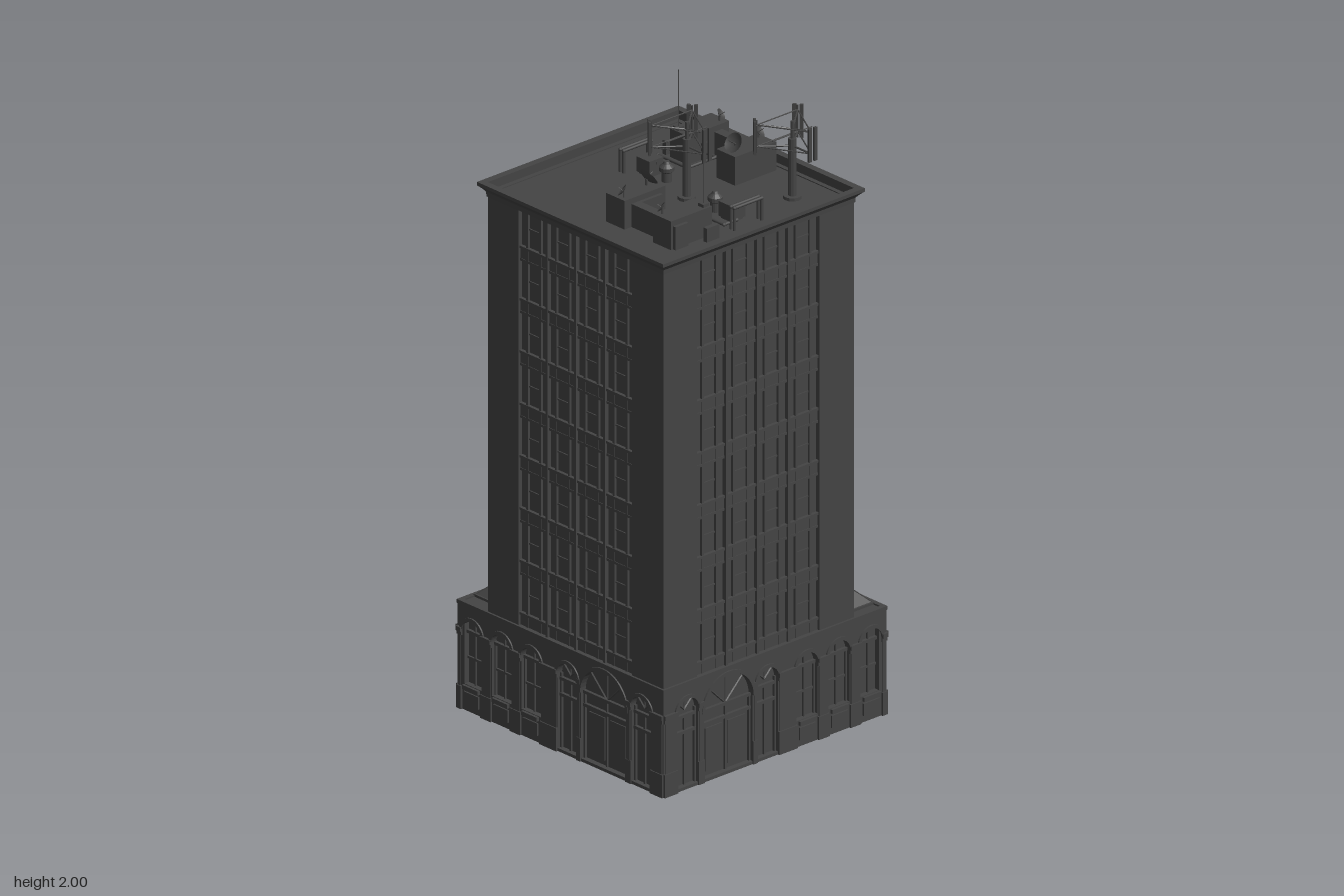
import * as THREE from 'three';
import { mergeGeometries } from 'three/addons/utils/BufferGeometryUtils.js';

const color = 0x444444;
const flat = new THREE.MeshStandardMaterial({ color, flatShading: true });
const smooth = new THREE.MeshStandardMaterial({ color });
const thin = new THREE.MeshStandardMaterial({ color, side: THREE.DoubleSide });
const V = (x, y, z) => new THREE.Vector3(x, y, z);

// Box given by its extents
const span = (x0, x1, y0, y1, z0, z1) => new THREE.BoxGeometry(x1 - x0, y1 - y0, z1 - z0)
  .translate((x0 + x1) / 2, (y0 + y1) / 2, (z0 + z1) / 2);

const extrude = (shape, depth, z) => new THREE.ExtrudeGeometry(shape, { depth, bevelEnabled: false, curveSegments: 10 })
  .translate(0, 0, z);

// Round bar between two points
function rod(a, b, r, sides = 6) {
  const d = b.clone().sub(a);
  return new THREE.CylinderGeometry(r, r, d.length(), sides)
    .applyQuaternion(new THREE.Quaternion().setFromUnitVectors(V(0, 1, 0), d.normalize()))
    .translate((a.x + b.x) / 2, (a.y + b.y) / 2, (a.z + b.z) / 2);
}

function tube(points, r) {
  const path = new THREE.CurvePath();
  for (let i = 0; i + 1 < points.length; i++) path.add(new THREE.LineCurve3(points[i], points[i + 1]));
  return mergeGeometries([
    ...path.curves.map((c) => rod(c.v1, c.v2, r, 8)),
    ...points.map((p) => new THREE.SphereGeometry(r * 1.25, 8, 6).translate(p.x, p.y, p.z)),
  ]);
}

// Square moulding swept from (half width, height) pairs
const squareRing = (profile) => new THREE.LatheGeometry(
  profile.map(([h, y]) => new THREE.Vector2(h * Math.SQRT2, y)), 4, Math.PI / 4);

function add(parent, name, geos, mat = flat) {
  const list = [].concat(geos).map((g) => {
    const n = g.index ? g.toNonIndexed() : g;
    n.deleteAttribute('uv');
    return n;
  });
  const mesh = new THREE.Mesh(mergeGeometries(list), mat);
  mesh.name = name;
  parent.add(mesh);
  return mesh;
}

function group(parent, name) {
  const g = new THREE.Group();
  g.name = name;
  parent.add(g);
  return g;
}

// Round-headed outline
function arch(path, { cx, w, y0, top }) {
  const r = w / 2, spring = top - r;
  path.moveTo(cx - r, y0);
  path.lineTo(cx + r, y0);
  path.lineTo(cx + r, spring);
  path.absarc(cx, spring, r, 0, Math.PI, false);
  path.lineTo(cx - r, y0);
  return path;
}

// One street facade: three arched windows, a grand door between two side doors
function facade(parent, name) {
  const g = group(parent, name), F = 0.45;
  const openings = [
    ...[-0.387, -0.258, -0.129].map((cx) => ({ cx, w: 0.085, y0: 0.085, top: 0.296 })),
    { cx: 0.03, w: 0.085, y0: 0.01, top: 0.296, door: true },
    { cx: 0.188, w: 0.196, y0: 0.01, top: 0.323, door: true },
    { cx: 0.353, w: 0.085, y0: 0.01, top: 0.296, door: true },
  ];
  const wall = new THREE.Shape([[-F, 0], [F, 0], [F, 0.345], [-F, 0.345]].map((p) => new THREE.Vector2(...p)));
  openings.forEach((o) => wall.holes.push(arch(new THREE.Path(), o)));
  add(g, 'wall', extrude(wall, 0.03, F - 0.03));

  const panes = [], bars = [], trims = [], sills = [];
  for (const o of openings) {
    const r = o.w / 2, spring = o.top - r, head = o.door ? Math.min(spring, 0.235) : spring;
    panes.push(extrude(arch(new THREE.Shape(), o), 0.004, F - 0.022));
    const ring = new THREE.Shape();
    ring.absarc(o.cx, spring, r + 0.011, 0, Math.PI, false);
    ring.absarc(o.cx, spring, r, Math.PI, 0, true);
    trims.push(extrude(ring, 0.006, F - 0.001));
    // Frame bars and fan-light spokes
    bars.push(span(o.cx - r, o.cx + r, head - 0.005, head + 0.005, F - 0.02, F - 0.008));
    bars.push(span(o.cx - 0.003, o.cx + 0.003, o.y0, o.door ? head : o.top, F - 0.02, F - 0.012));
    [-1, 1].forEach((s) => bars.push(span(o.cx + s * (r - 0.003) - 0.003, o.cx + s * (r - 0.003) + 0.003, o.y0, spring, F - 0.02, F - 0.01)));
    if (o.door) {
      for (const a of [45, 90, 135].map(THREE.MathUtils.degToRad)) {
        bars.push(rod(V(o.cx, spring, F - 0.016), V(o.cx + Math.cos(a) * r, spring + Math.sin(a) * r, F - 0.016), 0.003, 4));
      }
      bars.push(span(o.cx - r, o.cx + r, 0.178, 0.188, F - 0.02, F - 0.008));
    } else {
      bars.push(span(o.cx - r, o.cx + r, 0.165, 0.172, F - 0.02, F - 0.012));
      sills.push(span(o.cx - r + 0.008, o.cx + r - 0.008, 0.07, 0.083, F - 0.002, F + 0.009));
      sills.push(span(o.cx - r + 0.01, o.cx + r - 0.01, 0.022, 0.062, F - 0.002, F + 0.005));
    }
  }
  // Grand door leaf panels
  [0.142, 0.234].forEach((x) => panes.push(span(x - 0.034, x + 0.034, 0.025, 0.165, F - 0.02, F - 0.014)));

  // Impost mouldings and plinth blocks on every pier
  const piers = [];
  const edges = [-F, ...openings.flatMap((o) => [o.cx - o.w / 2, o.cx + o.w / 2]), F];
  for (let i = 0; i < edges.length; i += 2) {
    const [a, b] = [edges[i], edges[i + 1]], out = b < 0 || i === 12 ? 0.009 : 0.006;
    piers.push(span(a, b, 0.24, 0.252, F - 0.002, F + out * 0.6));
    piers.push(span(a, b, 0.252, 0.266, F - 0.002, F + out));
    piers.push(span(a, b, 0, 0.075, F - 0.002, F + out * 0.7));
    piers.push(span(a + 0.005, b - 0.005, 0.075, 0.24, F - 0.002, F + 0.003));
  }
  add(g, 'windowAndDoorPanes', panes);
  add(g, 'frameBars', bars);
  add(g, 'archTrims', trims);
  add(g, 'sills', sills);
  add(g, 'piers', piers);
  return g;
}

function skylight(parent, x, z, len, alongX) {
  const g = group(parent, 'skylight');
  const w = 0.046, l = len / 2, run = l - 0.05, y0 = 0.353, y1 = 0.398;
  const P = [[-l, y0, w], [l, y0, w], [l, y0, -w], [-l, y0, -w], [-run, y1, 0], [run, y1, 0]];
  const faces = [0, 1, 5, 0, 5, 4, 1, 2, 5, 2, 3, 4, 2, 4, 5, 3, 0, 4];
  const hip = new THREE.BufferGeometry();
  hip.setAttribute('position', new THREE.Float32BufferAttribute(faces.flatMap((i) => P[i]), 3));
  hip.computeVertexNormals();
  add(g, 'hippedGlass', hip);
  add(g, 'curb', span(-l - 0.006, l + 0.006, 0.34, y0, -w - 0.006, w + 0.006));
  const bars = [rod(V(-run, y1, 0), V(run, y1, 0), 0.003)];
  for (let i = 0; i <= 6; i++) {
    const bx = -run + (2 * run * i) / 6;
    [-1, 1].forEach((s) => bars.push(rod(V(bx, y1, 0), V(bx, y0, s * w), 0.0018, 4)));
  }
  [-1, 1].forEach((s) => [-1, 1].forEach((t) => bars.push(rod(V(s * run, y1, 0), V(s * l, y0, t * w), 0.002, 4))));
  add(g, 'glazingBars', bars);
  g.position.set(x, 0, z);
  if (!alongX) g.rotation.y = Math.PI / 2;
}

// One tower side: four recessed bays of stacked windows
function towerSide(parent, angle) {
  const g = group(parent, 'towerSide'), H = 0.384, y0 = 0.35, y1 = 1.712, rows = 8, step = (y1 - y0) / rows;
  const wall = new THREE.Shape([[-H, 0.34], [H, 0.34], [H, 1.718], [-H, 1.718]].map((p) => new THREE.Vector2(...p)));
  const detail = [];
  for (let i = 0; i < 4; i++) {
    const a = -0.25 + i * 0.126, b = a + 0.117;
    wall.holes.push(new THREE.Path([[a, y0], [b, y0], [b, y1], [a, y1]].map((p) => new THREE.Vector2(...p))));
    for (let j = 0; j < rows; j++) {
      const y = y0 + j * step;
      detail.push(span(a, b, y, y + 0.034, 0.365, 0.376), span(a, b, y + 0.034, y + 0.042, 0.365, 0.381));
      detail.push(span(a, b, y + step - 0.008, y + step, 0.365, 0.378));
      [0.03, 0.087].forEach((m) => detail.push(span(a + m - 0.004, a + m + 0.004, y, y + step, 0.365, 0.378)));
      detail.push(span(a + 0.03, a + 0.087, y + 0.1, y + 0.105, 0.365, 0.374));
    }
  }
  add(g, 'pierWall', extrude(wall, 0.015, H - 0.015));
  add(g, 'windowFrames', detail);
  g.rotation.y = angle;
}

function dish(parent, x, z, r, turn) {
  const g = group(parent, 'dish');
  const bowl = new THREE.LatheGeometry([0, 0.35, 0.7, 1].map((t) => new THREE.Vector2(r * t, r * 0.35 * t * t)), 16);
  const m = add(g, 'bowl', bowl, thin);
  m.position.y = 0.018;
  m.rotation.x = 0.95;
  add(g, 'post', [rod(V(0, 0, 0), V(0, 0.02, 0), r * 0.14), rod(V(0, 0.018, 0), V(0, 0.018 + r * 0.6, r * 0.8), r * 0.06)]);
  g.position.set(x, 1.808, z);
  g.rotation.y = turn;
}

// Plant rooms, pipes, fan, cooler and aerials
function roofPlant(parent) {
  const g = group(parent, 'roofPlant'), R = 1.71;
  add(g, 'plantRooms', [
    span(-0.146, -0.067, R, 1.808, -0.293, -0.127), span(0.057, 0.139, R, 1.808, -0.293, -0.127),
    span(-0.07, 0.06, R, 1.79, -0.265, -0.233), span(-0.157, -0.145, R, 1.79, -0.284, -0.233),
    span(0.046, 0.058, R, 1.79, -0.233, -0.149), span(-0.068, -0.056, R, 1.77, -0.212, -0.18),
    span(-0.178, -0.163, R, 1.76, -0.178, -0.127), span(-0.139, -0.115, 1.8, 1.818, -0.156, -0.132),
  ]);
  add(g, 'cooler', [span(-0.127, -0.07, R + 0.012, 1.77, -0.03, 0.026), span(-0.122, -0.075, R, 1.73, -0.025, 0.02),
    span(-0.129, -0.068, 1.755, 1.762, -0.004, 0)]);
  const fan = [[0.016, R], [0.016, 1.745], [0.023, 1.75], [0.023, 1.762], [0.012, 1.772], [0.008, 1.78], [0, 1.78]];
  add(g, 'roofFan', new THREE.LatheGeometry(fan.map((p) => new THREE.Vector2(...p)), 16), flat).position.set(-0.025, 0, -0.002);
  const y = 1.735;
  add(g, 'pipe', tube([V(-0.06, y, -0.196), V(-0.02, y, -0.196), V(-0.02, y, -0.082), V(-0.149, y, -0.082), V(-0.149, y, -0.03)], 0.005), smooth);
  const loops = [-0.168, -0.153].map((x) => tube([V(x, R, -0.057), V(x, 1.787, -0.057), V(x, 1.787, 0.053), V(x, R, 0.053)], 0.005));
  add(g, 'pipeLoops', loops, smooth);
  add(g, 'whipAerial', [new THREE.CylinderGeometry(0.001, 0.002, 0.19, 6).translate(-0.127, 1.905, -0.144)]);
  dish(g, 0.098, -0.166, 0.032, 0);
  dish(g, -0.087, -0.273, 0.019, 2.2);
  dish(g, 0.08, -0.275, 0.021, 2.2);
  return g;
}

// Three-cornered aerial mast
function mast(parent, x, z) {
  const g = group(parent, 'aerialMast');
  const corners = [[-0.067, -0.083], [-0.067, 0.083], [0.082, 0]];
  add(g, 'pole', [rod(V(0, 1.71, 0), V(0, 1.91, 0), 0.013, 12), rod(V(0, 1.9, 0), V(0, 1.965, 0), 0.006, 8),
    rod(V(0, 1.71, 0), V(0, 1.725, 0), 0.028, 12)]);
  const bars = [rod(V(-0.005, 1.92, -0.083), V(-0.005, 1.92, 0.075), 0.002)], panels = [];
  corners.forEach(([cx, cz], i) => {
    const [nx, nz] = corners[(i + 1) % 3], a = Math.atan2(cx, cz);
    for (const y of [1.885, 1.955]) {
      bars.push(rod(V(cx, y, cz), V(nx, y, nz), 0.0022), rod(V(0, y === 1.885 ? 1.885 : 1.94, 0), V(cx, y, cz), 0.003));
    }
    bars.push(rod(V(cx, 1.865, cz), V(cx, 1.97, cz), 0.003));
    [-0.011, 0.011].forEach((s) => panels.push(
      new THREE.BoxGeometry(0.011, 0.108, 0.008).translate(s, 1.917, 0.005).rotateY(a).translate(cx, 0, cz)));
  });
  add(g, 'frame', bars);
  add(g, 'panelAerials', panels);
  g.position.set(x, 0, z);
}

export function createModel() {
  const root = new THREE.Group();
  root.name = 'officeTower';

  // Base: two facades and their mirrored neighbours
  const base = group(root, 'base');
  base.position.set(-0.005, 0, -0.005);
  facade(base, 'frontFacade');
  facade(base, 'backFacade').rotation.y = Math.PI;
  [['leftFacade', 1], ['rightFacade', -1]].forEach(([name, s]) => {
    const f = facade(base, name);
    f.scale.x = -1;
    f.rotation.y = (s * Math.PI) / 2;
  });
  add(base, 'baseRoof', span(-0.448, 0.448, 0.333, 0.345, -0.448, 0.448));
  add(base, 'coping', squareRing([[0.448, 0.336], [0.452, 0.338], [0.452, 0.35], [0.436, 0.35], [0.436, 0.344]]));
  skylight(root, -0.393, -0.275, 0.32, false);
  skylight(root, -0.393, 0.216, 0.335, false);
  skylight(root, -0.135, -0.393, 0.32, true);
  skylight(root, 0.238, -0.393, 0.32, true);

  // Tower
  const tower = group(root, 'tower');
  tower.position.set(0.056, 0, 0.056);
  add(tower, 'core', span(-0.37, 0.37, 0.338, 1.715, -0.37, 0.37));
  for (let i = 0; i < 4; i++) towerSide(tower, (i * Math.PI) / 2);
  add(tower, 'cornice', squareRing([[0.38, 1.698], [0.387, 1.7], [0.388, 1.715], [0.396, 1.725], [0.407, 1.735],
    [0.407, 1.746], [0.384, 1.746], [0.384, 1.715], [0.36, 1.715]]));

  // Rooftop equipment, repeated with a half turn
  roofPlant(root);
  const second = roofPlant(root);
  second.rotation.y = Math.PI;
  second.position.set(0.206, 0, 0.036);
  mast(root, 0.109, 0.04);
  mast(root, 0.318, -0.193);
  return root;
}
